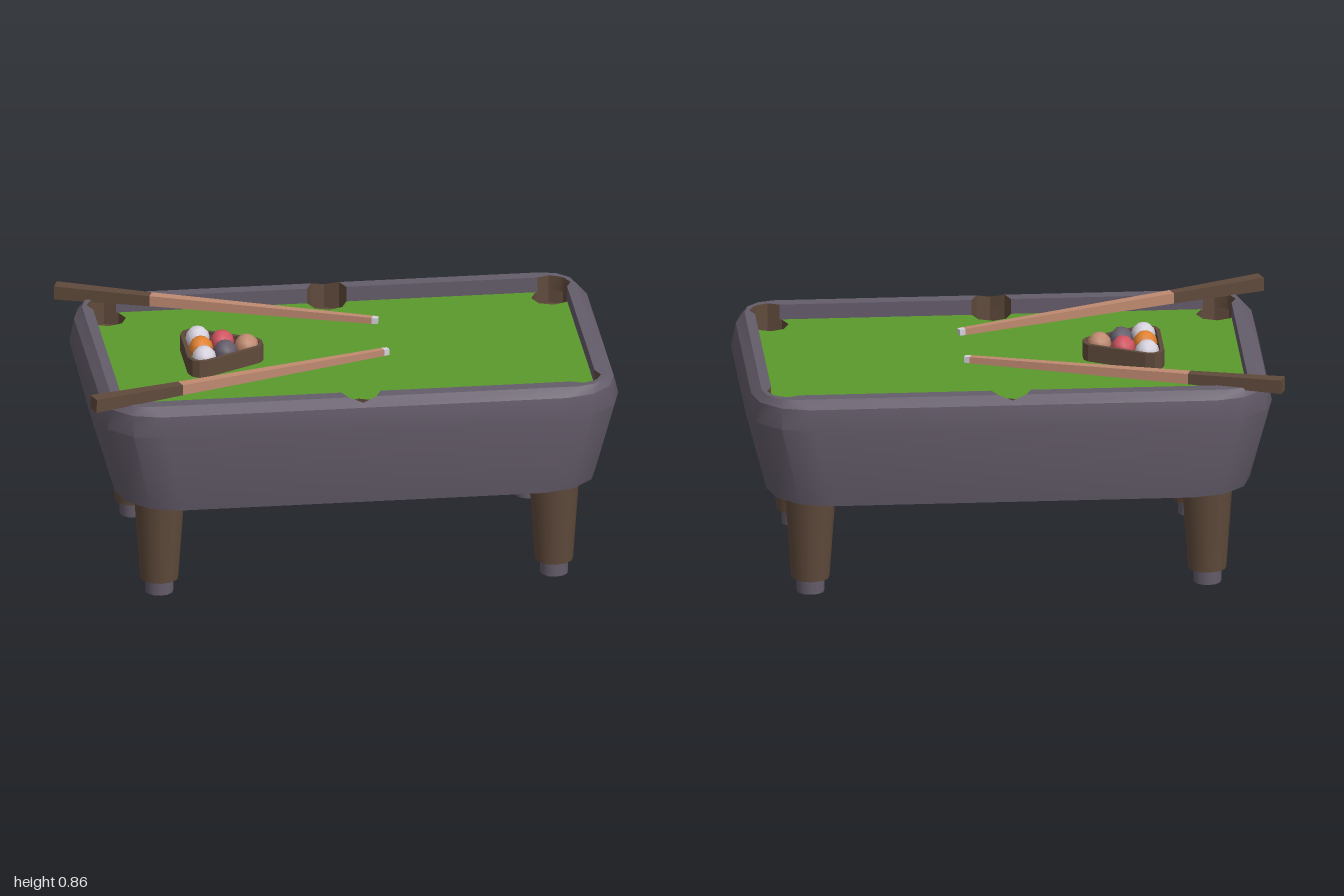
import * as THREE from 'three';
import { toCreasedNormals } from 'three/addons/utils/BufferGeometryUtils.js';

const CX = 0.0175, FELT_Y = 0.75, RAIL_Y = 0.808, POCKET_R = 0.073;

const paint = (name, color, side = THREE.FrontSide) => {
  const m = new THREE.MeshStandardMaterial({ color, side });
  m.name = name;
  return m;
};

// Quarter outline of a rounded rectangle, from the +z side round to the +x side
function quarter(hx, hz, r, y) {
  const pts = [];
  for (let i = 0; i <= 3; i++) {
    const a = Math.PI / 2 * (1 - i / 3);
    pts.push([hx - r + r * Math.cos(a), y, hz - r + r * Math.sin(a)]);
  }
  return pts;
}

// Mirror a quarter outline into a whole loop
function ring(q) {
  const flip = (sx, sz) => q.map(([x, y, z]) => [x * sx, y, z * sz]);
  const all = [...q, ...flip(1, -1).reverse(), ...flip(-1, -1), ...flip(-1, 1).reverse()];
  return all.filter((p, i) => {
    const n = all[(i + 1) % all.length];
    return Math.hypot(p[0] - n[0], p[2] - n[2]) > 1e-5;
  });
}

// Surface between successive loops; keep() picks which segments are built
function strip(rows, keep = () => true) {
  const pos = [];
  for (let r = 0; r + 1 < rows.length; r++) {
    const lo = rows[r], hi = rows[r + 1], n = lo.length;
    for (let i = 0; i < n; i++) {
      const j = (i + 1) % n;
      if (!keep(lo[i], lo[j])) continue;
      pos.push(...lo[i], ...lo[j], ...hi[j], ...lo[i], ...hi[j], ...hi[i]);
    }
  }
  const g = new THREE.BufferGeometry();
  g.setAttribute('position', new THREE.Float32BufferAttribute(pos, 3));
  return toCreasedNormals(g, 0.6);
}

const octagon = (x, z) => Array.from({ length: 8 }, (_, i) => new THREE.Vector2(
  x + POCKET_R * Math.cos(i * Math.PI / 4), z + POCKET_R * Math.sin(i * Math.PI / 4)));
const flat = pts => new THREE.Shape(pts.map(p => new THREE.Vector2(p[0], p[2])));

export function createModel() {
  const body = paint('slate grey', 0x645c6a);
  const felt = paint('felt green', 0x5b9a2c);
  const wood = paint('dark wood', 0x5f4a3b, THREE.DoubleSide);
  const tan = paint('light wood', 0xbf8a70);
  const white = paint('white', 0xd6d2de);
  const orange = paint('orange', 0xe0812f);
  const red = paint('red', 0xd0535f);

  const model = new THREE.Group();
  const table = new THREE.Group();
  table.name = 'table';
  table.position.x = CX;
  model.add(table);
  const add = (parent, name, geo, mat) => {
    const m = new THREE.Mesh(geo, mat);
    m.name = name;
    parent.add(m);
    return m;
  };

  // Flared cabinet with bevelled rim, notched at the side pockets
  const shoulder = quarter(0.955, 0.595, 0.2, 0.78);
  const crest = quarter(0.92, 0.555, 0.12, RAIL_Y);
  const base = ring(quarter(0.895, 0.56, 0.22, 0.39));
  add(table, 'cabinet', strip([base, ring(quarter(0.975, 0.61, 0.24, 0.7)), ring(shoulder)]), body);
  add(table, 'cabinetBottom', new THREE.ShapeGeometry(flat(base)).rotateX(Math.PI / 2).translate(0, 0.39, 0), body);
  add(table, 'rimBevel', strip([
    ring([[0, 0.78, 0.595], [0.052, 0.78, 0.595], ...shoulder]),
    ring([[0, 0.793, 0.578], [0.052, RAIL_Y, 0.555], ...crest])]), body);

  // Inner opening, biting into the rail at each pocket
  const opening = [[0.073, 0.505], [0.784, 0.505], [0.8275, 0.523], [0.868, 0.505],
    [0.8825, 0.49], [0.9005, 0.45], [0.8825, 0.407]].map(([x, z]) => [x, RAIL_Y, z]);
  const backward = q => q.map(([x, y, z]) => [x, y, -z]).reverse();
  const notch = [0.052, RAIL_Y, 0.555];
  const outerHalf = [notch, ...crest, ...backward([notch, ...crest])];
  const innerHalf = [...opening, ...backward(opening)].reverse();
  for (const s of [1, -1]) {
    const pts = [...outerHalf, ...innerHalf].map(([x, y, z]) => [x * s, y, z]);
    add(table, s > 0 ? 'leftRailTop' : 'rightRailTop',
      new THREE.ShapeGeometry(flat(pts)).rotateX(-Math.PI / 2).translate(0, RAIL_Y, 0), body);
  }
  const wallTop = ring([[0, 0.793, 0.578], notch, ...opening]);
  const wallFoot = wallTop.map(([x, , z]) => [x, FELT_Y, z]);
  const isLong = (a, b) => Math.hypot(a[0] - b[0], a[2] - b[2]) > 0.2;
  add(table, 'cushions', strip([wallTop, wallFoot], isLong), body);
  add(table, 'pocketBacks', strip([wallTop, wallFoot], (a, b) => !isLong(a, b)), wood);

  // Playing surface and pockets
  const cloth = flat(ring(quarter(0.945, 0.587, 0.19, 0)));
  for (const [x, z] of [[0, 0.505], [0.8275, 0.45], [-0.8275, 0.45]]) {
    for (const s of [1, -1]) {
      cloth.holes.push(new THREE.Path(octagon(x, z * s)));
      add(table, 'pocketWall', toCreasedNormals(
        new THREE.CylinderGeometry(POCKET_R, POCKET_R, 0.05, 8, 1, true), 0.6), wood)
        .position.set(x, FELT_Y - 0.025, z * s);
      add(table, 'pocketFloor', new THREE.CircleGeometry(POCKET_R, 8).rotateX(-Math.PI / 2), wood)
        .position.set(x, FELT_Y - 0.05, z * s);
    }
  }
  add(table, 'felt', new THREE.ShapeGeometry(cloth).rotateX(-Math.PI / 2).translate(0, FELT_Y, 0), felt);

  // Tapered legs on round feet
  for (const x of [-0.735, 0.735]) {
    for (const z of [-0.38, 0.38]) {
      add(table, 'leg', new THREE.CylinderGeometry(0.095, 0.071, 0.34, 12), wood).position.set(x, 0.225, z);
      add(table, 'foot', new THREE.CylinderGeometry(0.052, 0.052, 0.06, 12), body).position.set(x, 0.03, z);
    }
  }

  // Square tapered cues resting on the rail
  const V = (x, y, z) => new THREE.Vector3(x, y, z);
  function cue(name, butt, tip) {
    const g = new THREE.Group();
    g.name = name;
    const len = butt.distanceTo(tip);
    const piece = (part, t0, t1, w0, w1, mat) => {
      const geo = new THREE.CylinderGeometry(w1 * Math.SQRT2, w0 * Math.SQRT2, (t1 - t0) * len, 4)
        .rotateY(Math.PI / 4).translate(0, (t0 + t1) / 2 * len, 0).rotateX(Math.PI / 2);
      add(g, part, toCreasedNormals(geo, 0.5), mat);
    };
    piece('butt', 0, 0.295, 0.026, 0.02, wood);
    piece('shaft', 0.295, 0.982, 0.02, 0.012, tan);
    piece('tip', 0.982, 1, 0.012, 0.011, white);
    g.position.copy(butt);
    g.lookAt(tip);
    model.add(g);
  }
  cue('frontCue', V(-0.985, 0.832, 0.558), V(0.165, 0.813, 0.14));
  cue('backCue', V(-0.985, 0.824, -0.568), V(0.165, 0.813, -0.158));

  // Triangular rack
  const half = [[-0.285, 0.02], [-0.3, 0.043], [-0.505, 0.155], [-0.54, 0.16], [-0.565, 0.145], [-0.578, 0.11]];
  const inner = [[-0.3, 0.014], [-0.311, 0.032], [-0.51, 0.141], [-0.537, 0.145], [-0.554, 0.134], [-0.563, 0.105]];
  const outline = h => [...h, ...h.map(([x, z]) => [x, -z]).reverse()].map(p => new THREE.Vector2(...p));
  const rack = new THREE.Shape(outline(half));
  rack.holes.push(new THREE.Path(outline(inner)));
  add(model, 'rack', new THREE.ExtrudeGeometry(rack, { depth: 0.065, bevelEnabled: false })
    .rotateX(-Math.PI / 2).translate(0, FELT_Y, 0), wood);

  // Racked balls
  for (const [x, z, mat] of [[-0.515, -0.098, white], [-0.515, 0, orange], [-0.515, 0.095, white],
    [-0.43, -0.049, red], [-0.43, 0.049, body], [-0.345, 0, tan]]) {
    add(model, 'ball', new THREE.SphereGeometry(0.046, 8, 6), mat).position.set(x, 0.803, z);
  }
  return model;
}
